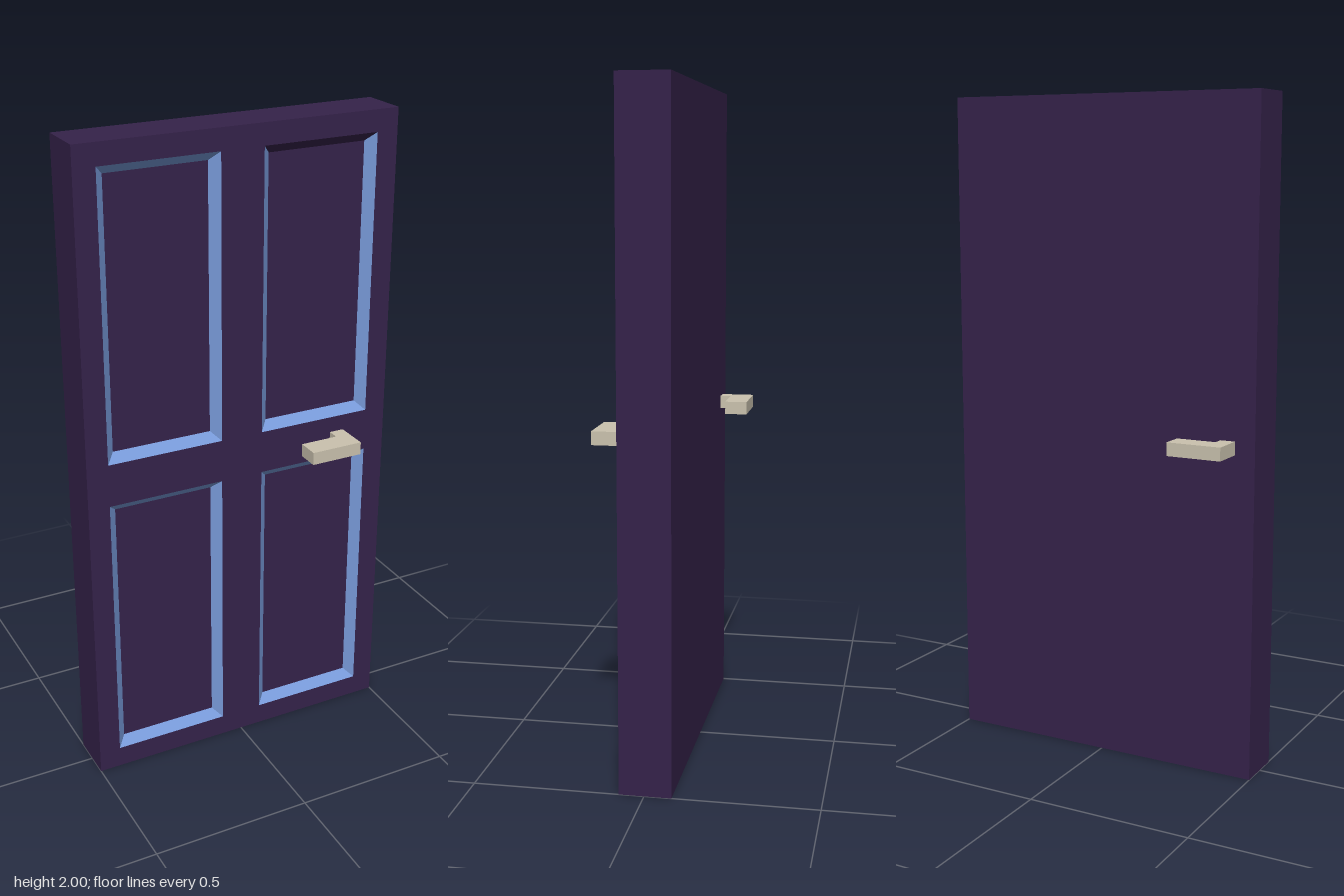
import * as THREE from 'three';

const material = (name, color) => {
  const m = new THREE.MeshStandardMaterial({ color });
  m.name = name;
  return m;
};

export function createModel() {
  const purple = material('dark purple', 0x35224a);
  const blue = material('trim blue', 0x7799d8);
  const beige = material('handle beige', 0xcac2ae);

  const door = new THREE.Group();
  door.name = 'door';
  const add = (name, geometry, mat, parent = door) => {
    const mesh = new THREE.Mesh(geometry, mat);
    mesh.name = name;
    parent.add(mesh);
    return mesh;
  };

  const back = -0.079, front = 0.073, depth = 0.027, bevel = 0.027;
  const floor = front - depth;
  const rectangle = (target, x0, y0, x1, y1) =>
    target.moveTo(x0, y0).lineTo(x1, y0).lineTo(x1, y1).lineTo(x0, y1).closePath();

  // Slab whose front is the floor of the four recesses
  add('slab', new THREE.BoxGeometry(1, 2, floor - back), purple)
    .position.set(0, 1, (floor + back) / 2);

  // Front frame with four openings
  const openings = [];
  for (const [x0, x1] of [[-0.433, -0.067], [0.067, 0.433]])
    for (const [y0, y1] of [[0.067, 0.933], [1.067, 1.935]]) openings.push([x0, y0, x1, y1]);
  const frame = rectangle(new THREE.Shape(), -0.5, 0, 0.5, 2);
  frame.holes = openings.map((o) => rectangle(new THREE.Path(), ...o));
  add('frame', new THREE.ExtrudeGeometry(frame, { depth, bevelEnabled: false }), purple)
    .position.z = floor;

  // Sloping trim around each recess, one strip per side
  const sides = ['bottom', 'right', 'top', 'left'];
  openings.forEach(([x0, y0, x1, y1], n) => {
    const trim = new THREE.Group();
    trim.name = `panelTrim${n + 1}`;
    door.add(trim);
    const corners = (i, z) => [[x0 + i, y0 + i, z], [x1 - i, y0 + i, z], [x1 - i, y1 - i, z], [x0 + i, y1 - i, z]];
    const outer = corners(0, front), inner = corners(bevel, floor);
    sides.forEach((side, k) => {
      const j = (k + 1) % 4;
      const strip = new THREE.BufferGeometry();
      strip.setAttribute('position', new THREE.Float32BufferAttribute(
        [outer[k], outer[j], inner[j], inner[k]].flat(), 3));
      strip.setIndex([0, 1, 2, 0, 2, 3]);
      strip.computeVertexNormals();
      // The top strip of the upper panel on the handle side matches the door
      add(`${side}Trim`, strip, n === 3 && side === 'top' ? purple : blue, trim);
    });
  });

  // L-shaped lever handles, drawn in plan as (x, z) and extruded upwards
  const handle = (name, points) => {
    const shape = new THREE.Shape(points.map(([x, z]) => new THREE.Vector2(x, -z)));
    const geometry = new THREE.ExtrudeGeometry(shape, { depth: 0.04, bevelEnabled: false });
    geometry.rotateX(-Math.PI / 2);
    add(name, geometry, beige).position.y = 0.977;
  };
  handle('frontHandle', [[0.307, front], [0.353, front], [0.353, 0.18], [0.187, 0.18], [0.187, 0.11], [0.307, 0.11]]);
  handle('backHandle', [[-0.438, back], [-0.392, back], [-0.392, -0.113], [-0.27, -0.113], [-0.27, -0.182], [-0.438, -0.182]]);

  return door;
}
